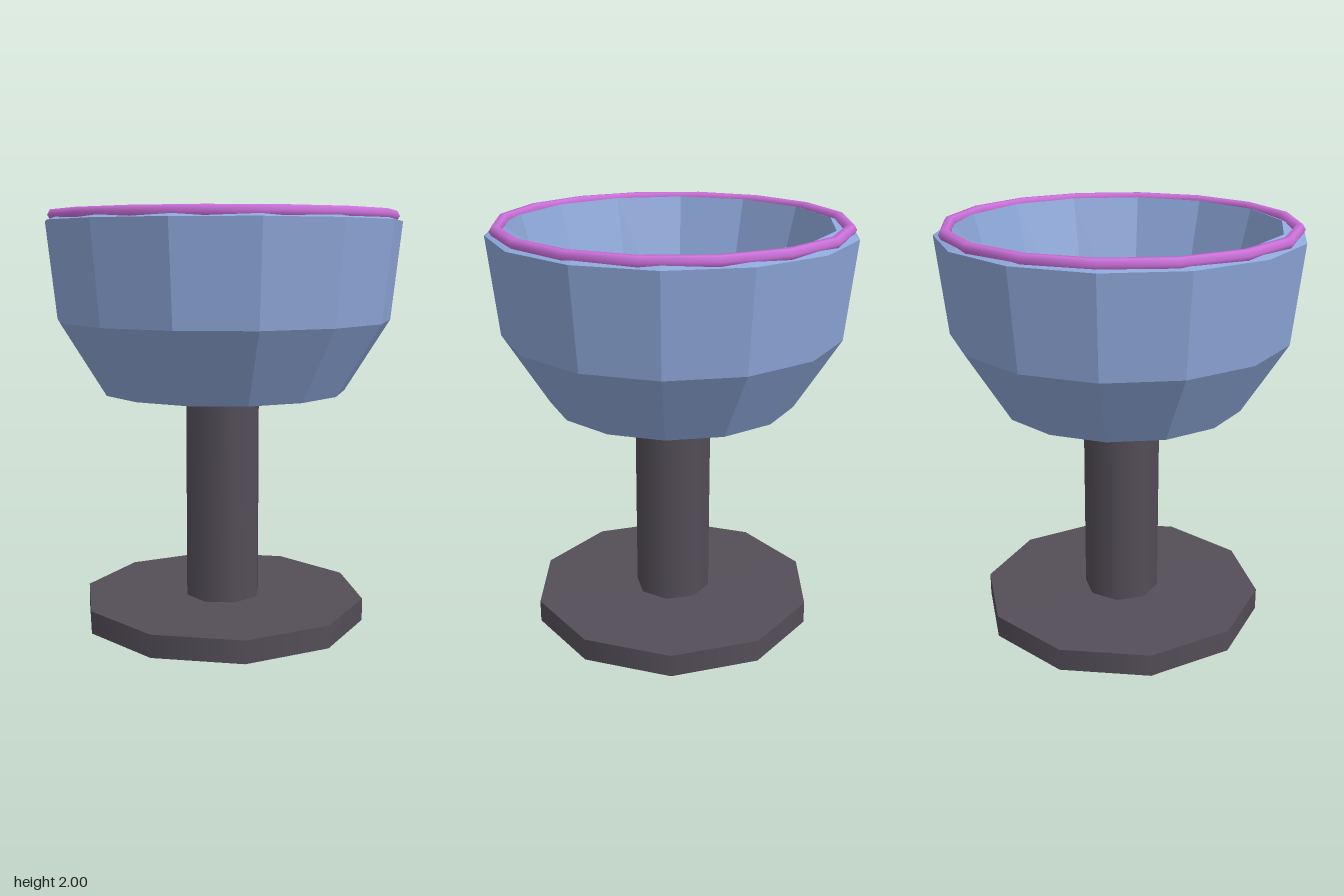
import * as THREE from 'three';

function material(name, color, flatShading = false) {
  const m = new THREE.MeshStandardMaterial({ color, flatShading });
  m.name = name;
  return m;
}

export function createModel() {
  const goblet = new THREE.Group();
  goblet.name = 'goblet';
  const blue = material('bowl blue', 0x8ea8da, true);
  const dark = material('dark stand', 0x544e58);
  const pink = material('rim orchid', 0xcb70da);

  const add = (name, geometry, mat, y = 0) => {
    const mesh = new THREE.Mesh(geometry, mat);
    mesh.name = name;
    mesh.position.y = y;
    goblet.add(mesh);
    return mesh;
  };

  // Ten-sided foot and eight-sided stem
  add('foot', new THREE.CylinderGeometry(0.7, 0.7, 0.11, 10), dark, 0.055);
  add('stem', new THREE.CylinderGeometry(0.187, 0.187, 1.02, 8), dark, 0.61);

  // Faceted bowl: outside going up, sloped lip, then inside going down to the floor
  const profile = [
    [0, 1.09], [0.595, 1.14], [0.81, 1.485], [0.86, 1.952],
    [0.755, 1.985], [0.54, 1.18], [0, 1.17],
  ].map(([r, y]) => new THREE.Vector2(r, y));
  add('bowl', new THREE.LatheGeometry(profile, 14, Math.PI / 2), blue);

  // Ring lying on the lip
  const ring = new THREE.TorusGeometry(0.812, 0.028, 6, 16);
  ring.rotateX(-Math.PI / 2);
  add('rimRing', ring, pink, 1.976);

  return goblet;
}
